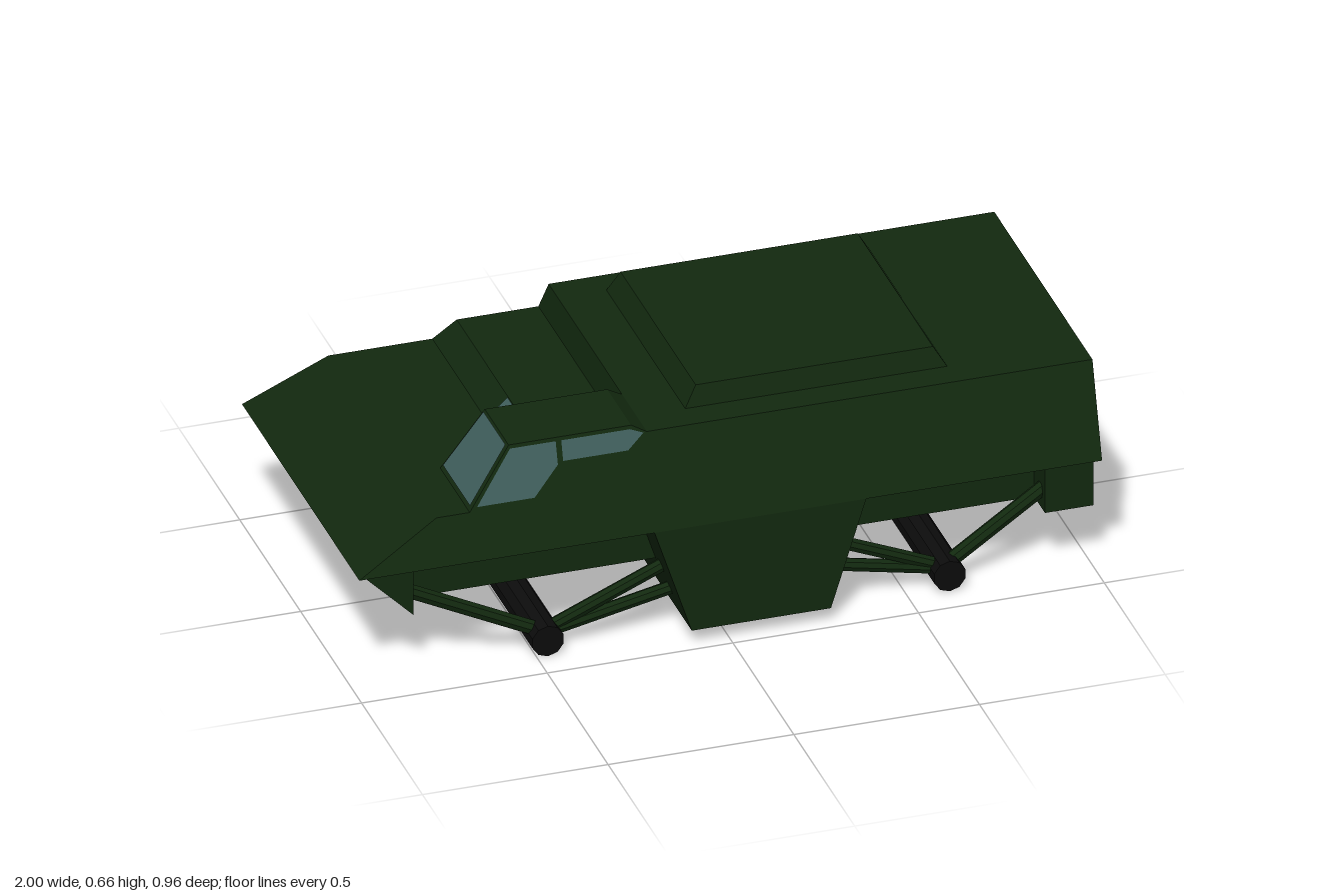
import * as THREE from 'three';

const paint = (color, side = THREE.FrontSide) =>
  new THREE.MeshStandardMaterial({ color, side, flatShading: true });
const green = paint(0x12290f);
const black = paint(0x0c0c0c);
const glass = paint(0x41605e, THREE.DoubleSide);

const BELT = 0.35;
// Half width of the hull at height y: upright below the belt line, leaning in above it
const halfWidth = (y) => 0.482 - 0.31 * Math.max(0, y - BELT);

// Side profile (x, y) stretched across z from z0(y) to z1(y)
function slab(name, points, z0, z1) {
  const shape = new THREE.Shape(points.map(([x, y]) => new THREE.Vector2(x, y)));
  const geo = new THREE.ExtrudeGeometry(shape, { depth: 1, bevelEnabled: false });
  const p = geo.attributes.position;
  for (let i = 0; i < p.count; i++) {
    p.setZ(i, p.getZ(i) < 0.5 ? z0(p.getY(i)) : z1(p.getY(i)));
  }
  geo.computeVertexNormals();
  const mesh = new THREE.Mesh(geo, green);
  mesh.name = name;
  return mesh;
}

const symmetric = (name, points, half) => slab(name, points, () => -half, () => half);

// Flat convex pane from its corners
function pane(name, corners) {
  const geo = new THREE.BufferGeometry();
  geo.setAttribute('position', new THREE.Float32BufferAttribute(corners.flat(), 3));
  const index = [];
  for (let i = 1; i < corners.length - 1; i++) index.push(0, i, i + 1);
  geo.setIndex(index);
  geo.computeVertexNormals();
  const mesh = new THREE.Mesh(geo, glass);
  mesh.name = name;
  return mesh;
}

// Round bar between two points
function bar(name, a, b, radius, sides, material) {
  const from = new THREE.Vector3(...a);
  const to = new THREE.Vector3(...b);
  const dir = to.clone().sub(from);
  const mesh = new THREE.Mesh(new THREE.CylinderGeometry(radius, radius, dir.length(), sides), material);
  mesh.position.copy(from).add(to).multiplyScalar(0.5);
  mesh.quaternion.setFromUnitVectors(new THREE.Vector3(0, 1, 0), dir.normalize());
  mesh.name = name;
  return mesh;
}

export function createModel() {
  const model = new THREE.Group();
  model.name = 'armouredVehicle';

  // Upper hull with sloped nose, low front deck and raised rear
  model.add(slab('upperHull', [
    [-1, BELT], [1, BELT], [1, 0.605], [-0.2, 0.605], [-0.22, 0.53],
    [-0.44, 0.53], [-0.5, 0.475], [-0.78, 0.475],
  ], (y) => -halfWidth(y), halfWidth));

  // Offset driver cab on the +z half
  model.add(slab('cab', [
    [-0.69, 0.475], [-0.2, 0.475], [-0.2, 0.605], [-0.24, 0.627], [-0.57, 0.627],
  ], () => 0.2, halfWidth));

  // Lower hull: narrow core, full-width belly, nose wedge and tail block
  model.add(symmetric('lowerHull', [[-0.84, 0.18], [0.88, 0.18], [0.88, 0.36], [-0.84, 0.36]], 0.32));
  model.add(symmetric('belly', [[-0.105, 0.045], [0.27, 0.045], [0.365, BELT], [-0.205, BELT]], 0.482));
  model.add(symmetric('noseWedge', [[-0.83, 0.18], [-0.83, BELT], [-1, BELT]], 0.41));
  model.add(symmetric('tailBlock', [[0.87, 0.18], [1, 0.18], [1, BELT], [0.87, BELT]], 0.41));

  // Roof hatch: a low box with its top edges drawn in
  const hatchGeo = new THREE.BoxGeometry(0.71, 0.06, 0.65);
  const p = hatchGeo.attributes.position;
  for (let i = 0; i < p.count; i++) {
    if (p.getY(i) > 0) p.setXYZ(i, p.getX(i) * 0.9, p.getY(i), p.getZ(i) * 0.95);
  }
  hatchGeo.computeVertexNormals();
  const hatch = new THREE.Mesh(hatchGeo, green);
  hatch.name = 'roofHatch';
  hatch.position.set(0.283, 0.631, -0.003);
  model.add(hatch);

  // Windows on both side walls of the cab
  const sidePanes = [
    [[-0.67, 0.487], [-0.568, 0.619], [-0.445, 0.619], [-0.445, 0.56], [-0.515, 0.487]],
    [[-0.43, 0.619], [-0.245, 0.619], [-0.21, 0.605], [-0.255, 0.567], [-0.43, 0.567]],
  ];
  sidePanes.forEach((pts, i) => {
    const place = i === 0 ? 'Front' : 'Rear';
    model.add(pane(`outer${place}Window`, pts.map(([x, y]) => [x, y, halfWidth(y) + 0.003])));
    model.add(pane(`inner${place}Window`, pts.map(([x, y]) => [x, y, 0.197])));
  });

  // Windscreen and the low slit window beside the cab
  model.add(pane('windscreen', [
    [-0.685, 0.487, 0.208], [-0.685, 0.487, 0.43], [-0.576, 0.625, 0.388], [-0.576, 0.625, 0.208],
  ]));
  model.add(pane('slitWindow', [
    [-0.5, 0.48, 0], [-0.5, 0.48, 0.18], [-0.443, 0.532, 0.18], [-0.443, 0.532, 0],
  ]));

  // Axles with three struts at each end, mirrored about the belly
  const middle = 0.07;
  for (const s of [-1, 1]) {
    const end = s < 0 ? 'front' : 'rear';
    const at = (x) => middle + s * x;
    model.add(bar(`${end}Axle`, [at(0.541), 0.044, -0.418], [at(0.541), 0.044, 0.418], 0.044, 10, black));
    for (const z of [-0.37, 0.37]) {
      model.add(bar(`${end}OuterStrut`, [at(0.54), 0.05, z], [s < 0 ? -0.84 : 0.88, 0.235, z], 0.02, 8, green));
      model.add(bar(`${end}UpperStrut`, [at(0.54), 0.05, z], [at(0.2), 0.195, z], 0.018, 8, green));
      model.add(bar(`${end}LowerStrut`, [at(0.54), 0.045, z], [at(0.18), 0.12, z], 0.018, 8, green));
    }
  }
  return model;
}
